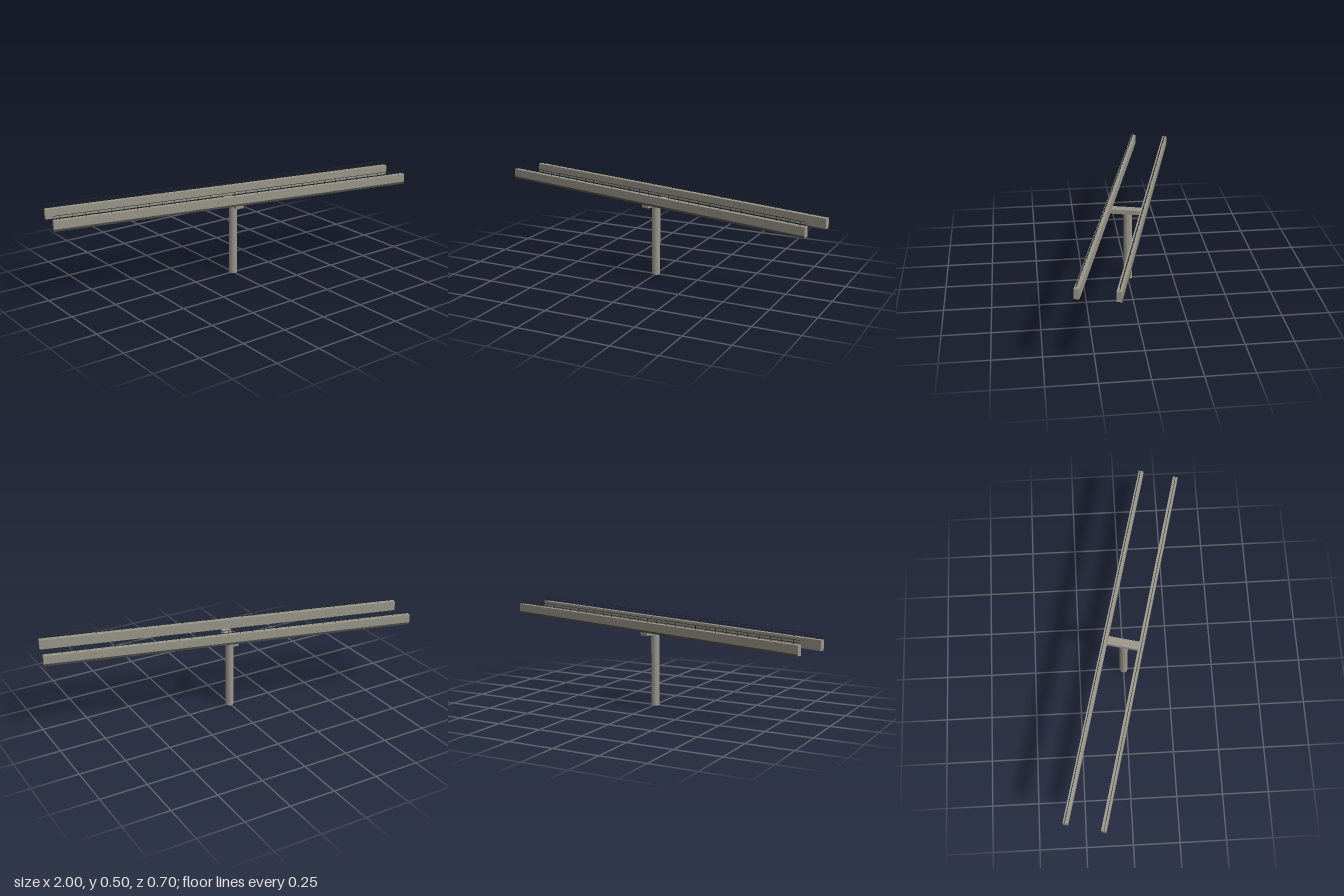
import * as THREE from 'three';

const concrete = new THREE.MeshStandardMaterial({ color: 0x9a968a, flatShading: true });
const dark = new THREE.MeshStandardMaterial({ color: 0x4c4a45, flatShading: true });
const steel = new THREE.MeshStandardMaterial({ color: 0x22282a, flatShading: true });

const LENGTH = 2.006, WIDTH = 0.026, HEIGHT = 0.052, OFFSET = 0.097;
const YAW = -0.2465, SLOPE = 0.0082;

function box(parent, name, size, pos, material) {
  const mesh = new THREE.Mesh(new THREE.BoxGeometry(...size), material);
  mesh.name = name;
  mesh.position.set(...pos);
  parent.add(mesh);
  return mesh;
}

// One girder with its outer bottom strip and railing; side is +1 or -1
function makeGirder(side) {
  const girder = new THREE.Group();
  girder.name = side > 0 ? 'frontGirder' : 'backGirder';
  girder.position.z = side * OFFSET;
  box(girder, 'beam', [LENGTH, HEIGHT, WIDTH], [0, 0, 0], concrete);
  box(girder, 'bottomStrip', [LENGTH, 0.011, 0.004],
    [0, -HEIGHT / 2 + 0.003, side * (WIDTH / 2 - 0.001)], dark);

  // Railing: two rails on evenly spaced posts
  const railing = new THREE.Group();
  railing.name = 'railing';
  railing.position.set(0, HEIGHT / 2, side * 0.002);
  const railHeight = 0.024, posts = 30, step = LENGTH / posts;
  for (const [name, y] of [['topRail', railHeight], ['middleRail', railHeight * 0.45]]) {
    box(railing, name, [LENGTH, 0.002, 0.002], [0, y - 0.001, 0], steel);
  }
  for (let i = 0; i < posts; i++) {
    box(railing, 'post', [0.002, railHeight, 0.002],
      [(i + 0.5) * step - LENGTH / 2, railHeight / 2, 0], steel);
  }
  girder.add(railing);
  return girder;
}

export function createModel() {
  const model = new THREE.Group();
  model.name = 'trackSection';
  const track = new THREE.Group();
  track.name = 'track';
  track.rotation.y = YAW;
  model.add(track);

  // Sloping pair of girders
  const girders = new THREE.Group();
  girders.name = 'girders';
  girders.position.y = 0.445;
  girders.rotation.z = SLOPE;
  girders.add(makeGirder(1), makeGirder(-1));
  track.add(girders);

  // Crosshead carrying the girders
  box(track, 'crosshead', [0.045, 0.025, 0.184], [0, 0.4075, 0], concrete);

  // Column
  const column = new THREE.Mesh(new THREE.CylinderGeometry(0.023, 0.023, 0.396, 12), concrete);
  column.name = 'column';
  column.position.y = 0.198;
  track.add(column);

  return model;
}
